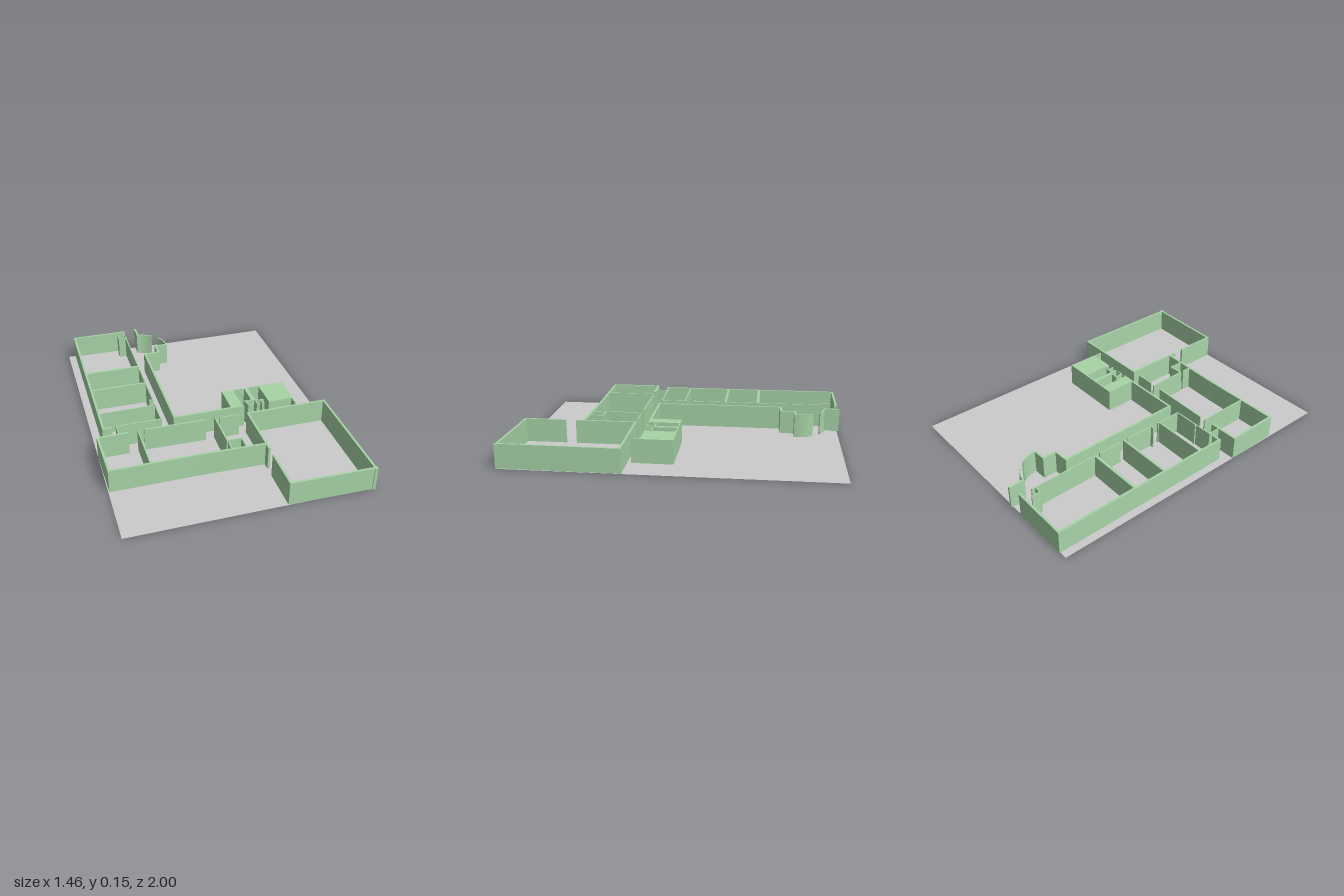
import * as THREE from 'three';

const H = 0.148;
const green = new THREE.MeshStandardMaterial({ color: 0xa8d4a8, flatShading: true });
const grey = new THREE.MeshStandardMaterial({ color: 0xcccccc, side: THREE.DoubleSide });

// Wall runs along corner points [x, z] with square, overlapping corners.
function wall(parent, name, t, ...pts) {
  const run = new THREE.Group();
  run.name = name;
  for (let i = 0; i + 1 < pts.length; i++) {
    const [ax, az] = pts[i], [bx, bz] = pts[i + 1];
    const dx = bx - ax, dz = bz - az, len = Math.hypot(dx, dz);
    // Only inner joints are lengthened so that corners close
    const s = i > 0 ? t / 2 : 0, e = i + 2 < pts.length ? t / 2 : 0;
    const m = new THREE.Mesh(new THREE.BoxGeometry(len + s + e, H, t), green);
    const k = (e - s) / 2 / len + 0.5;
    m.position.set(ax + dx * k, H / 2, az + dz * k);
    m.rotation.y = -Math.atan2(dz, dx);
    m.name = name + 'Segment';
    run.add(m);
  }
  parent.add(run);
}

function block(parent, name, x0, x1, z0, z1) {
  const m = new THREE.Mesh(new THREE.BoxGeometry(x1 - x0, H, z1 - z0), green);
  m.position.set((x0 + x1) / 2, H / 2, (z0 + z1) / 2);
  m.name = name;
  parent.add(m);
}

// Points on a circular arc, angles in degrees
function arc(cx, cz, r, a0, a1, n) {
  return Array.from({ length: n + 1 }, (_, i) => {
    const a = THREE.MathUtils.degToRad(a0 + (a1 - a0) * i / n);
    return [cx + r * Math.cos(a), cz + r * Math.sin(a)];
  });
}

export function createModel() {
  const model = new THREE.Group();
  model.name = 'floorPlan';
  const T = 0.014, S = 0.008; // outer and partition wall thickness

  const ground = new THREE.Mesh(new THREE.PlaneGeometry(1.455, 1.975), grey);
  ground.rotation.x = -Math.PI / 2;
  ground.name = 'ground';
  model.add(ground);

  // North wing: outer walls
  const north = new THREE.Group();
  north.name = 'northWing';
  model.add(north);
  wall(north, 'outerWall', T, [-0.307, -0.982], [-0.673, -0.985], [-0.673, 0.193], [-0.62, 0.193]);
  wall(north, 'cornerStub', S, [-0.309, -0.985], [-0.309, -0.97]);
  // Partitions between the rooms
  wall(north, 'partition', 0.018, [-0.67, -0.465], [-0.312, -0.464]);
  wall(north, 'partition', 0.014, [-0.67, -0.247], [-0.312, -0.245]);
  wall(north, 'partition', S, [-0.67, 0.03], [-0.316, 0.031]);
  wall(north, 'endWall', S, [-0.315, 0.188], [-0.593, 0.19], [-0.593, 0.268]);
  // Corridor wall with door gaps
  for (const [a, b] of [[-0.91, -0.465], [-0.435, -0.28], [-0.22, -0.03], [0.02, 0.188]])
    wall(north, 'corridorWall', S, [-0.316, a], [-0.316, b]);
  wall(north, 'niche', S, [-0.365, -0.942], [-0.365, -0.886], [-0.316, -0.886]);
  wall(north, 'doorStub', S, [-0.34, -0.034], [-0.316, -0.034]);
  wall(north, 'doorStub', S, [-0.48, 0.175], [-0.48, 0.19]);

  // Long inner wall, stepping out to the curved entrance
  wall(north, 'courtyardWall', T, [0.135, 0.194], [-0.234, 0.194], [-0.234, -0.615],
    [-0.138, -0.62], [-0.138, -0.708], [-0.057, -0.71]);
  wall(north, 'entrancePost', T, [-0.225, -1], [-0.225, -0.9]);
  wall(north, 'entranceCurve', S, ...arc(-0.24, -0.717, 0.185, -85, -54, 6));
  wall(north, 'entranceCurve', S, ...arc(-0.24, -0.717, 0.18, -36, 2, 8));

  // Service core: solid blocks and small cells
  const core = new THREE.Group();
  core.name = 'serviceCore';
  model.add(core);
  block(core, 'solidBlock', 0.13, 0.205, 0.008, 0.2);
  block(core, 'solidBlock', 0.38, 0.543, 0.008, 0.197);
  block(core, 'backWall', 0.13, 0.545, 0, 0.008);
  block(core, 'divider', 0.28, 0.304, 0.008, 0.143);
  wall(core, 'cell', S, [0.305, 0.147], [0.238, 0.145], [0.246, 0.196], [0.28, 0.196]);
  wall(core, 'cell', S, [0.304, 0.15], [0.304, 0.197]);
  wall(core, 'cell', S, [0.304, 0.155], [0.358, 0.163]);
  wall(core, 'cell', S, [0.34, 0.163], [0.338, 0.197], [0.35, 0.197]);
  wall(core, 'cellFront', S, [0.205, 0.196], [0.218, 0.196]);
  wall(core, 'coreStub', S, [0.537, 0.19], [0.537, 0.25]);

  // South wing: west rooms
  const south = new THREE.Group();
  south.name = 'southWing';
  model.add(south);
  wall(south, 'outerWall', T, [-0.537, 0.272], [-0.72, 0.274], [-0.714, 0.596],
    [-0.2, 0.595], [0.205, 0.605]);
  wall(south, 'corridorWall', 0.01, [-0.44, 0.268], [-0.057, 0.275]);
  wall(south, 'corridorWall', S, [0.03, 0.277], [0.155, 0.277]);
  wall(south, 'partition', S, [-0.477, 0.262], [-0.477, 0.595]);
  wall(south, 'closet', 0.01, [0.002, 0.268], [0.002, 0.512], [0.091, 0.512], [0.091, 0.597]);
  wall(south, 'closetStub', 0.01, [0.004, 0.535], [0.004, 0.597]);

  // Large hall with a doorway on its west side
  wall(south, 'hallWall', T, [0.211, 0.655], [0.211, 0.279], [0.718, 0.279],
    [0.712, 0.988], [0.211, 0.978], [0.211, 0.72]);
  block(south, 'hallCorner', 0.705, 0.724, 0.975, 1);
  return model;
}
